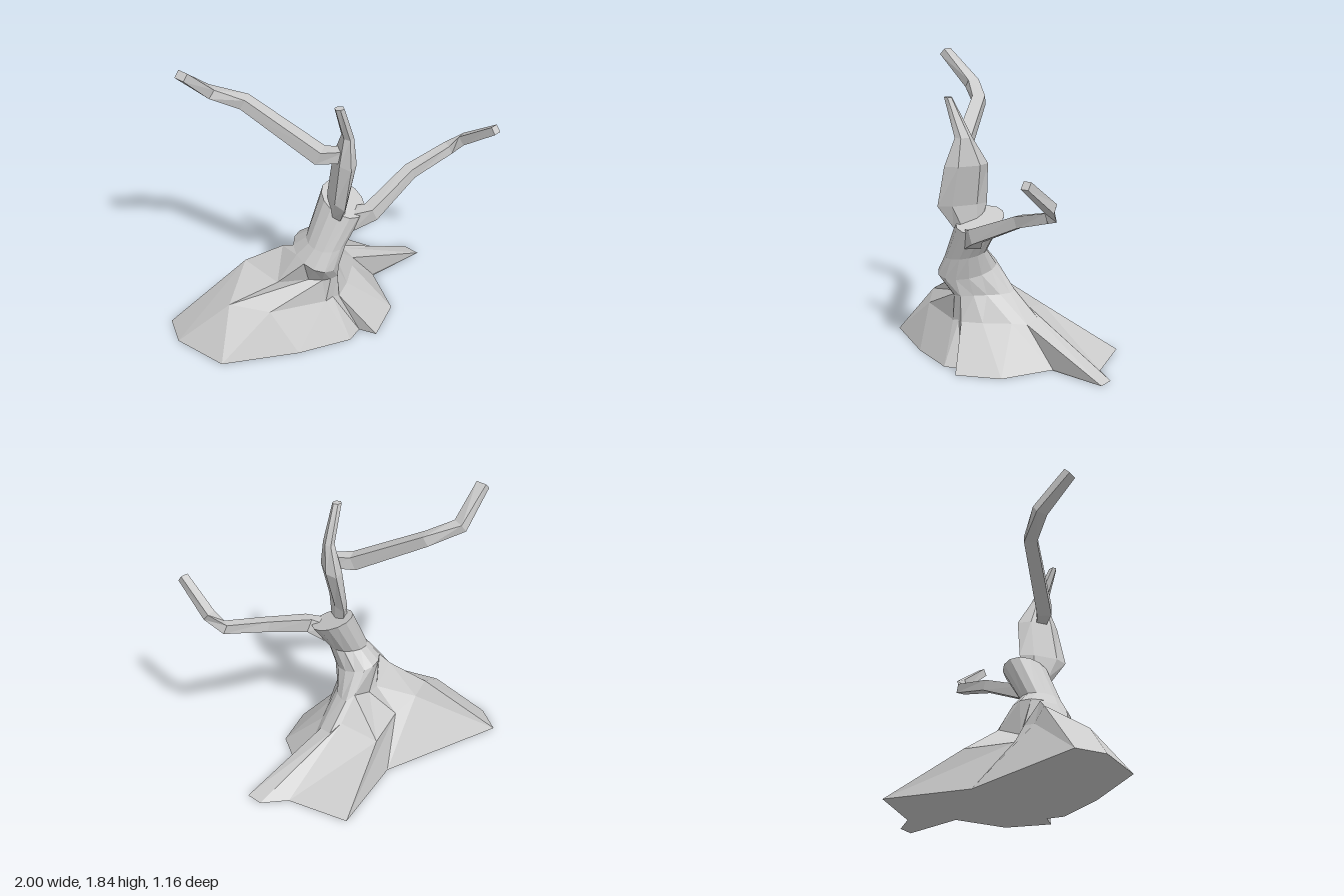
import * as THREE from 'three';

const material = new THREE.MeshStandardMaterial({ color: 0xcccccc, flatShading: true, side: THREE.DoubleSide });

// Skin a stack of closed rings (equal point counts) and cap both ends.
function loft(name, rings) {
  const pos = [];
  const tri = (...pts) => pts.forEach(p => pos.push(p.x, p.y, p.z));
  const n = rings[0].length;
  const centre = ring => ring.reduce((s, p) => s.add(p), new THREE.Vector3()).divideScalar(n);
  const first = rings[0], last = rings[rings.length - 1];
  const c0 = centre(first), c1 = centre(last);
  for (let j = 0; j < n; j++) {
    const k = (j + 1) % n;
    for (let i = 0; i < rings.length - 1; i++) {
      const a = rings[i][j], b = rings[i][k], c = rings[i + 1][k], d = rings[i + 1][j];
      tri(a, b, c);
      tri(a, c, d);
    }
    tri(c0, first[k], first[j]);
    tri(c1, last[j], last[k]);
  }
  const geo = new THREE.BufferGeometry();
  geo.setAttribute('position', new THREE.Float32BufferAttribute(pos, 3));
  geo.computeVertexNormals();
  const mesh = new THREE.Mesh(geo, material);
  mesh.name = name;
  return mesh;
}

// Elliptical ring; `front` is the index that faces +z, tilt lowers the left and front sides.
function ellipse(n, front, cx, y, cz, rx, rz, tiltX = 0, tiltZ = 0) {
  return Array.from({ length: n }, (_, j) => {
    const a = ((j - front) / n) * Math.PI * 2;
    const s = Math.sin(a), c = Math.cos(a);
    return new THREE.Vector3(cx + rx * s, y - tiltX * s - tiltZ * c, cz + rz * c);
  });
}

// Four-sided limb along a path of [x, y, z, width, height].
function limb(name, path) {
  const pts = path.map(p => new THREE.Vector3(p[0], p[1], p[2]));
  const up = new THREE.Vector3(0, 1, 0);
  const rings = pts.map((p, i) => {
    const t = pts[Math.min(i + 1, pts.length - 1)].clone().sub(pts[Math.max(i - 1, 0)]).normalize();
    const side = t.clone().cross(up).normalize();
    const top = side.clone().cross(t).normalize();
    const w = path[i][3] / 2, h = path[i][4] / 2;
    return [[-1, -1], [1, -1], [1, 1], [-1, 1]].map(([u, v]) =>
      p.clone().addScaledVector(side, u * w).addScaledVector(top, v * h));
  });
  return loft(name, rings);
}

const toPoints = list => list.map(p => new THREE.Vector3(...p));

export function createModel() {
  const tree = new THREE.Group();
  tree.name = 'deadTree';

  // Root outline on the ground, from the right-hand lump round the front to the back
  const ground = [
    [-1, 0.08], [-0.99, 0.28], [-0.77, 0.56], [-0.29, 0.58], [0.05, 0.54], [0.13, 0.46], [0.22, 0.53],
    [0.39, 0.3], [0.37, -0.05], [0.73, -0.2], [0.67, -0.29], [0.49, -0.31], [0.18, -0.58], [-0.19, -0.17],
  ].map(([x, z]) => new THREE.Vector3(x, 0, z));

  // Shoulders of the roots
  const shoulders = toPoints([
    [-0.45, 0.35, 0.11], [-0.52, 0.44, 0.14], [-0.67, 0.28, 0.35], [-0.44, 0.26, 0.46], [-0.08, 0.25, 0.43],
    [-0.03, 0.26, 0.41], [0.01, 0.26, 0.41], [0.09, 0.26, 0.3], [0.17, 0.26, 0.14], [0.2, 0.25, 0.05],
    [0.16, 0.27, -0.04], [0.08, 0.32, -0.02], [-0.11, 0.27, -0.19], [-0.3, 0.28, 0.05],
  ]);

  // Foot of the trunk, still drawn out over the large lump
  const foot = toPoints([
    [-0.2, 0.44, 0.16], [-0.3, 0.57, 0.22], [-0.37, 0.41, 0.37], [-0.18, 0.41, 0.39], [-0.1, 0.41, 0.42],
    [-0.05, 0.42, 0.43], [0, 0.42, 0.41], [0.02, 0.42, 0.33], [0.04, 0.42, 0.25], [0.06, 0.42, 0.17],
    [0.05, 0.42, 0.1], [0.03, 0.43, 0.06], [-0.03, 0.46, 0.07], [-0.15, 0.4, 0.16],
  ]);

  // Roots and lower trunk in one skin
  tree.add(loft('rootsAndTrunk', [
    ground, shoulders, foot,
    ellipse(14, 5, -0.11, 0.57, 0.32, 0.14, 0.19, 0.03, 0.03),
    ellipse(14, 5, -0.055, 0.68, 0.35, 0.125, 0.13, 0, 0.02),
    ellipse(14, 5, 0.06, 0.91, 0.3, 0.13, 0.15, 0.04, 0.04),
  ]));

  // Flattened upper trunk, ending in a thin leaning stub
  tree.add(loft('upperTrunk', [
    [0, 0.86, 0.36, 0.045, 0.09],
    [0, 1.0, 0.39, 0.045, 0.16],
    [0.045, 1.25, 0.38, 0.06, 0.14],
    [0.055, 1.42, 0.4, 0.035, 0.055],
    [-0.015, 1.655, 0.468, 0.03, 0.025],
  ].map(r => ellipse(6, 0, ...r))));

  // Long branches, one each way
  tree.add(limb('rightBranch', [
    [0.04, 1.29, 0.4, 0.06, 0.08], [-0.1, 1.29, 0.36, 0.09, 0.09], [-0.48, 1.55, 0.09, 0.08, 0.07],
    [-0.68, 1.63, 0.06, 0.08, 0.06], [-0.85, 1.825, 0.18, 0.07, 0.05],
  ]));
  tree.add(limb('leftBranch', [
    [0.08, 0.8, 0.36, 0.1, 0.12], [0.21, 0.85, 0.39, 0.08, 0.09], [0.5, 0.99, 0.23, 0.07, 0.07],
    [0.77, 1.065, 0.15, 0.06, 0.06], [0.85, 1.14, 0.19, 0.06, 0.06], [0.97, 1.31, 0.39, 0.05, 0.05],
  ]));

  return tree;
}
